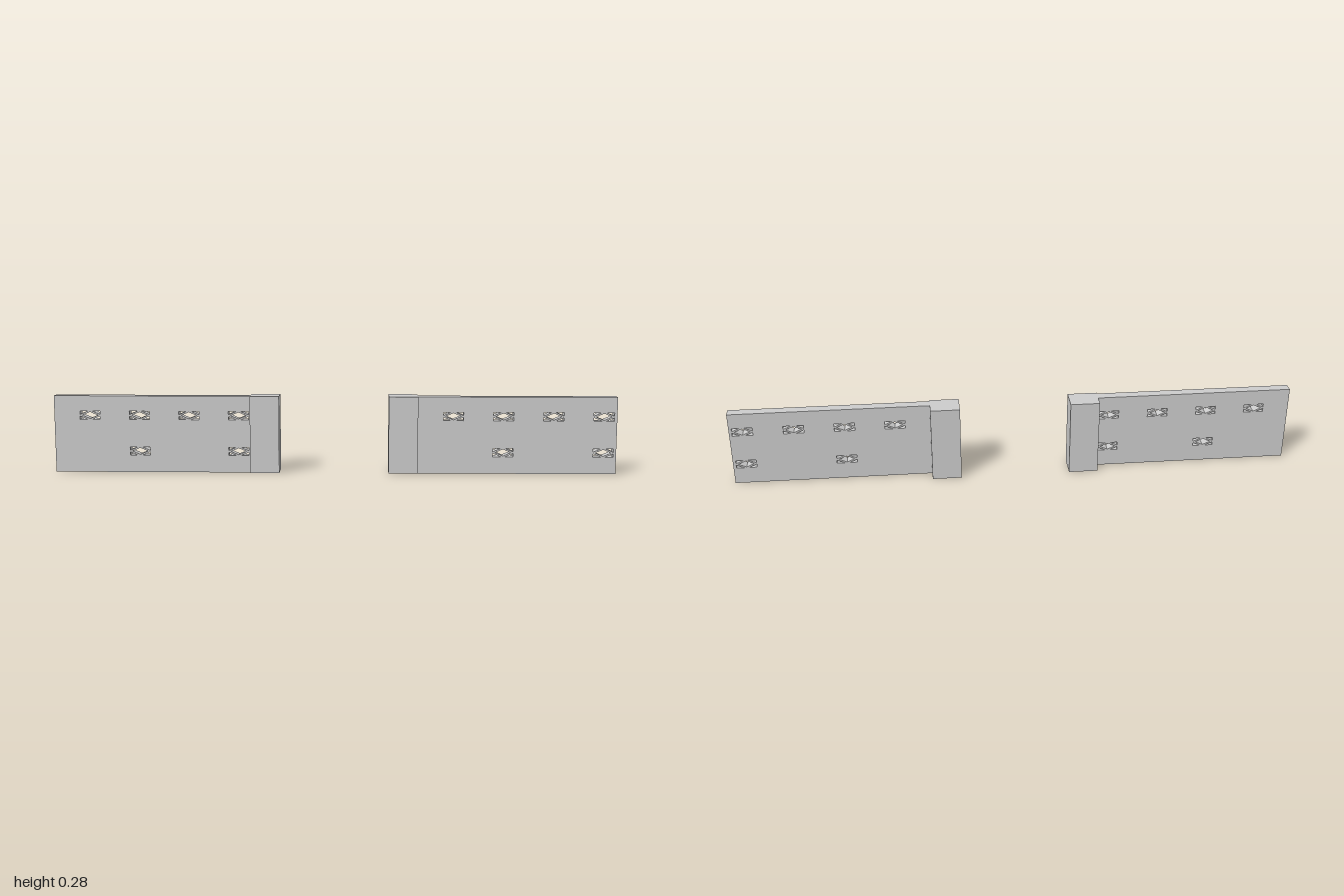
import * as THREE from 'three';

const material = new THREE.MeshStandardMaterial({ color: 0xcccccc, flatShading: true });
const HEIGHT = 0.275;

function polygon(points, x, y) {
  return new THREE.Path(points.map(([px, py]) => new THREE.Vector2(x + px, y + py)));
}

// One pierced vent: a central diamond framed by four corner triangles
function ventHoles(x, y) {
  const holes = [polygon([[0.028, 0], [0, 0.012], [-0.028, 0], [0, -0.012]], x, y)];
  for (const sx of [-1, 1]) for (const sy of [-1, 1]) {
    holes.push(polygon([
      [sx * 0.036, sy * 0.015], [sx * 0.036, sy * 0.003], [sx * 0.008, sy * 0.015],
    ], x, y));
  }
  return holes;
}

// Thin wall panel with vents in two rows
function wallPanel(x0, x1, firstVent) {
  const shape = new THREE.Shape([
    new THREE.Vector2(x0, 0), new THREE.Vector2(x1, 0),
    new THREE.Vector2(x1, HEIGHT), new THREE.Vector2(x0, HEIGHT),
  ]);
  for (let i = 0; i < 4; i++) {
    const x = firstVent + i * 0.177;
    shape.holes.push(...ventHoles(x, 0.205));
    if (i % 2 === 1) shape.holes.push(...ventHoles(x, 0.076));
  }
  const geometry = new THREE.ExtrudeGeometry(shape, { depth: 0.035, bevelEnabled: false });
  return new THREE.Mesh(geometry, material);
}

export function createModel() {
  const model = new THREE.Group();
  model.name = 'gatewayWalls';

  const sides = [
    { name: 'right', x0: -1, x1: -0.298, firstVent: -0.872, post: -0.248 },
    { name: 'left', x0: 0.298, x1: 1, firstVent: 0.423, post: 0.246 },
  ];
  for (const side of sides) {
    const wall = wallPanel(side.x0, side.x1, side.firstVent);
    wall.name = side.name + 'Wall';

    // Thicker gate post at the inner end
    const post = new THREE.Mesh(new THREE.BoxGeometry(0.104, HEIGHT, 0.084), material);
    post.position.set(side.post, HEIGHT / 2, 0);
    post.name = side.name + 'GatePost';
    model.add(wall, post);
  }
  return model;
}
